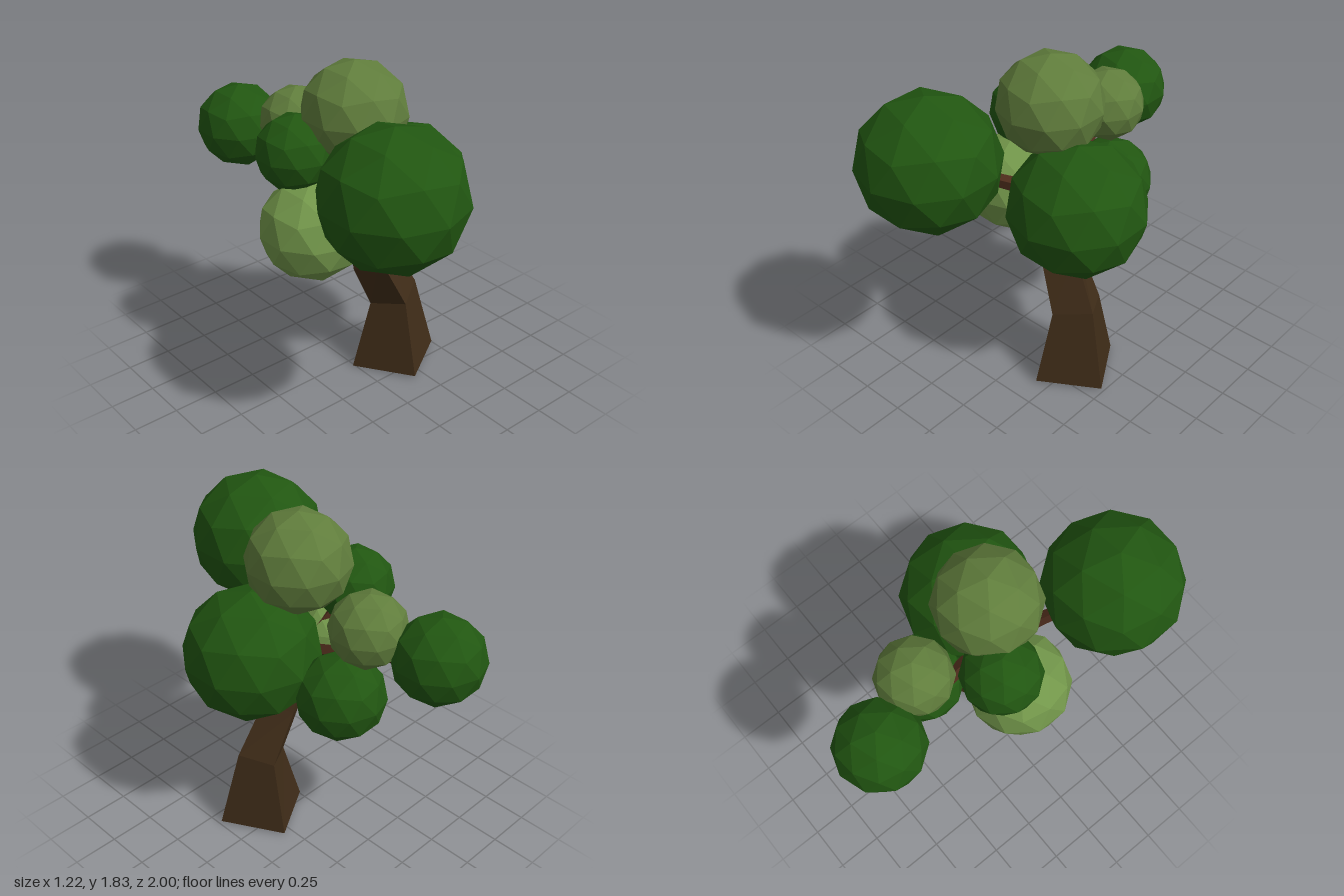
import * as THREE from 'three';

const paint = (color) => new THREE.MeshStandardMaterial({ color, flatShading: true });
const bark = paint(0x3f2c18);
const twig = paint(0x4a2a1a);
const darkLeaf = paint(0x215611);
const oliveLeaf = paint(0x607d3c);
const brightLeaf = paint(0x72964a);

// Faceted foliage ball with a vertex at the top
function foliage(name, material, [x, y, z], r) {
  const geometry = new THREE.IcosahedronGeometry(r, 1);
  geometry.rotateZ(-Math.atan(2 / (1 + Math.sqrt(5))));
  geometry.scale(1, 0.975, 1);
  const mesh = new THREE.Mesh(geometry, material);
  mesh.name = name;
  mesh.position.set(x, y, z);
  return mesh;
}

// Four-sided tapered limb between two points
function branch(name, from, to, r0, r1) {
  const a = new THREE.Vector3(...from);
  const b = new THREE.Vector3(...to);
  const dir = b.clone().sub(a);
  const mesh = new THREE.Mesh(new THREE.CylinderGeometry(r1, r0, dir.length(), 4), twig);
  mesh.name = name;
  mesh.position.copy(a).lerp(b, 0.5);
  mesh.quaternion.setFromUnitVectors(new THREE.Vector3(0, 1, 0), dir.normalize());
  return mesh;
}

// Bent trunk lofted through square rings (corners: front, right, back, left)
function trunk() {
  const rings = [
    [[0.18, 0.015, 0.365], [0.49, 0.015, 0.175], [0.3, 0.005, -0.14], [-0.01, 0, 0.05]],
    [[0.2, 0.43, 0.25], [0.38, 0.46, 0.13], [0.28, 0.43, -0.045], [0.1, 0.39, 0.07]],
    [[0.06, 0.74, 0.19], [0.22, 0.76, 0.09], [0.13, 0.71, -0.045], [-0.005, 0.64, 0.05]],
    [[-0.02, 1.06, 0.11], [0.06, 1.08, 0.05], [0.02, 1.06, -0.03], [-0.06, 1.03, 0.02]],
  ];
  const index = [0, 2, 1, 0, 3, 2];
  for (let i = 0; i < rings.length - 1; i++) {
    for (let j = 0; j < 4; j++) {
      const a = i * 4 + j;
      const b = i * 4 + ((j + 1) % 4);
      index.push(a, b, b + 4, a, b + 4, a + 4);
    }
  }
  const top = (rings.length - 1) * 4;
  index.push(top, top + 1, top + 2, top, top + 2, top + 3);
  const geometry = new THREE.BufferGeometry();
  geometry.setAttribute('position', new THREE.Float32BufferAttribute(rings.flat(2), 3));
  geometry.setIndex(index);
  geometry.computeVertexNormals();
  const mesh = new THREE.Mesh(geometry, bark);
  mesh.name = 'trunk';
  return mesh;
}

export function createModel() {
  const tree = new THREE.Group();
  tree.name = 'tree';
  tree.add(trunk());

  // Limbs reaching into the foliage
  const fork = [0, 1.02, 0.04];
  tree.add(
    branch('frontBranch', fork, [-0.26, 1.36, 0.6], 0.045, 0.025),
    branch('topBranch', fork, [0, 1.5, 0.04], 0.045, 0.025),
    branch('sideBranch', fork, [-0.26, 1.33, -0.08], 0.035, 0.025),
    branch('lowBranch', fork, [-0.26, 1.0, 0.02], 0.035, 0.025),
    branch('backBranch', fork, [-0.14, 1.25, -0.72], 0.045, 0.025),
  );

  // Foliage: name, material, centre, radius
  const balls = [
    ['frontFoliage', darkLeaf, [-0.26, 1.388, 0.63], 0.37],
    ['leftFoliage', darkLeaf, [0.26, 1.09, 0.125], 0.37],
    ['topFoliage', oliveLeaf, [0.005, 1.56, 0.04], 0.282],
    ['lowFoliage', brightLeaf, [-0.27, 0.985, 0.03], 0.282],
    ['backFoliage', darkLeaf, [-0.155, 1.275, -0.76], 0.24],
    ['upperBackFoliage', oliveLeaf, [-0.01, 1.36, -0.43], 0.205],
    ['lowerBackFoliage', darkLeaf, [0.085, 0.965, -0.345], 0.24],
    ['rightFoliage', darkLeaf, [-0.27, 1.37, -0.095], 0.212],
  ];
  for (const ball of balls) tree.add(foliage(...ball));
  return tree;
}
